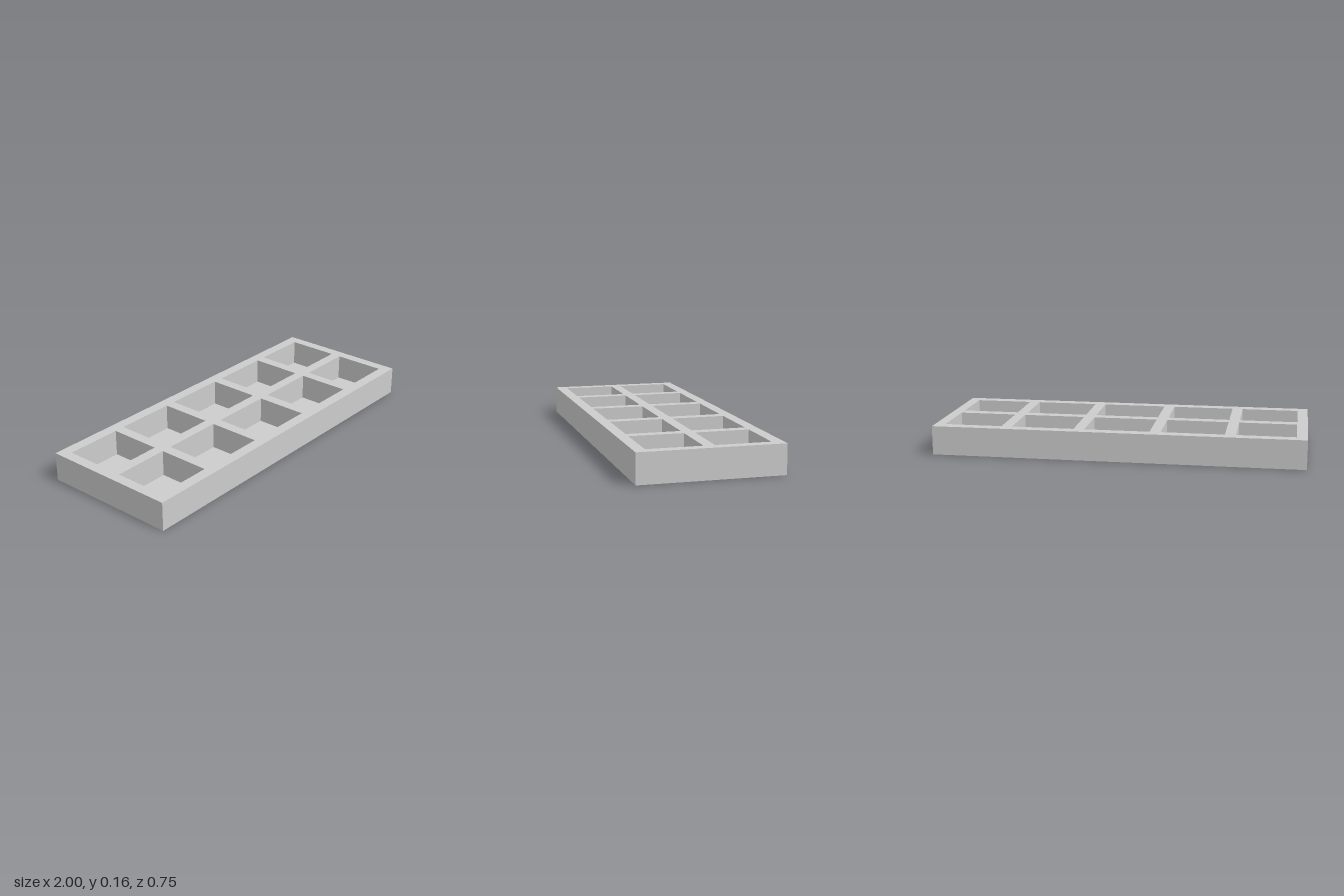
import * as THREE from 'three';

const HALF_X = 1, HALF_Z = 0.377, HEIGHT = 0.157, FLOOR = 0.015;
// Inner extents of the compartments: middle column, then the mirrored ones
const COLUMNS = [[-0.943, -0.63], [-0.572, -0.234], [-0.175, 0.175], [0.234, 0.572], [0.63, 0.943]];
const ROWS = [[-0.317, -0.029], [0.029, 0.317]];

function rectangle(target, x0, x1, y0, y1) {
  target.moveTo(x0, y0);
  target.lineTo(x1, y0);
  target.lineTo(x1, y1);
  target.lineTo(x0, y1);
  target.closePath();
  return target;
}

export function createModel() {
  const group = new THREE.Group();
  group.name = 'compartmentTray';
  const material = new THREE.MeshStandardMaterial({ color: 0xcccccc, flatShading: true });

  // Outer rim and dividers, cut through by ten compartments
  const outline = rectangle(new THREE.Shape(), -HALF_X, HALF_X, -HALF_Z, HALF_Z);
  for (const [x0, x1] of COLUMNS) {
    for (const [z0, z1] of ROWS) {
      outline.holes.push(rectangle(new THREE.Path(), x0, x1, z0, z1));
    }
  }
  const wallGeometry = new THREE.ExtrudeGeometry(outline, { depth: HEIGHT - FLOOR, bevelEnabled: false });
  wallGeometry.rotateX(-Math.PI / 2);
  const walls = new THREE.Mesh(wallGeometry, material);
  walls.name = 'wallsAndDividers';
  walls.position.y = FLOOR;

  // Thin base closing the compartments
  const base = new THREE.Mesh(new THREE.BoxGeometry(HALF_X * 2, FLOOR, HALF_Z * 2), material);
  base.name = 'base';
  base.position.y = FLOOR / 2;

  group.add(walls, base);
  return group;
}
